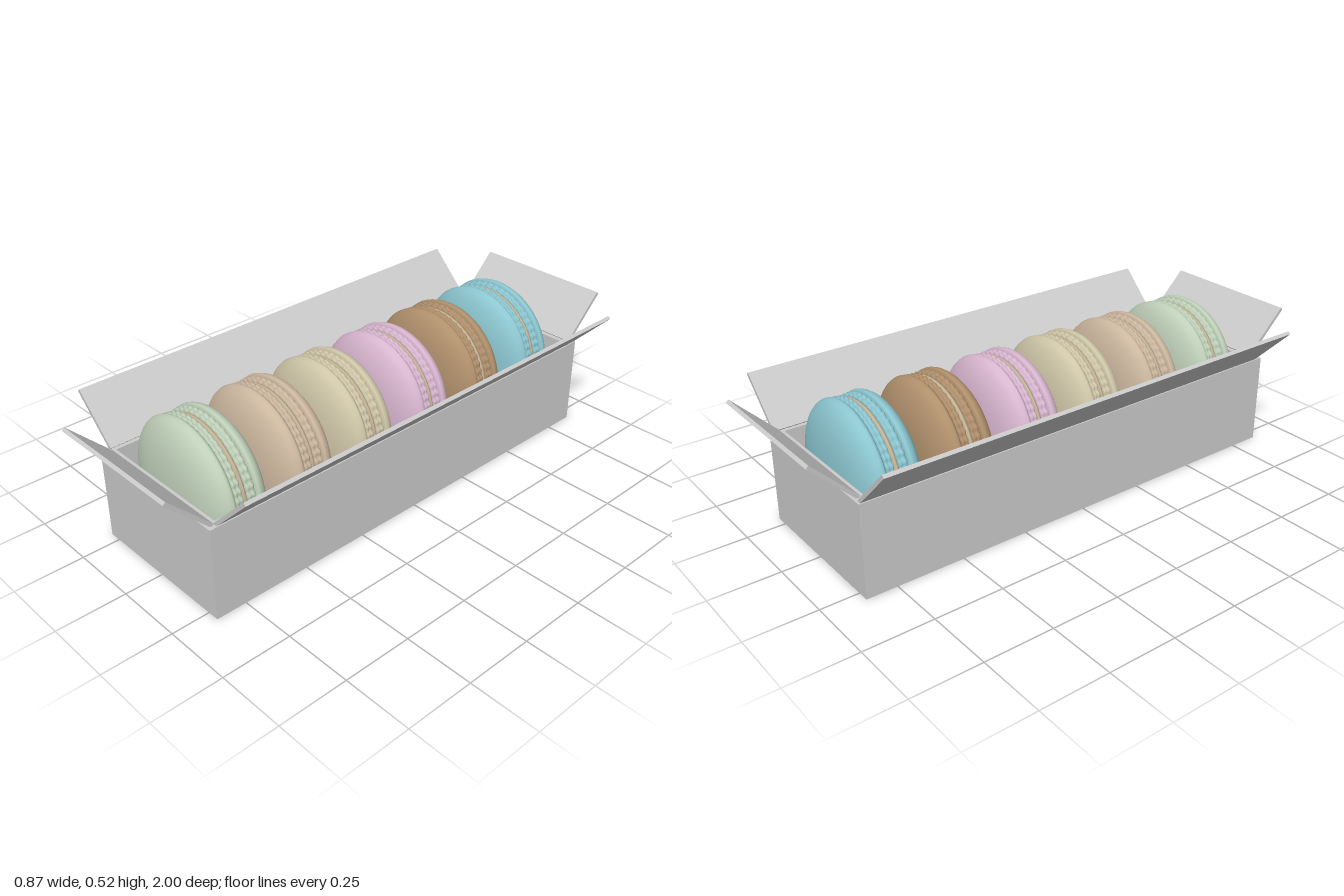
import * as THREE from 'three';

const mat = (color, side = THREE.FrontSide) => new THREE.MeshStandardMaterial({ color, side });

function add(parent, name, geometry, material) {
  const mesh = new THREE.Mesh(geometry, material);
  mesh.name = name;
  parent.add(mesh);
  return mesh;
}

// Lathe around z; points are [radius, z]
function turned(points, segments = 96) {
  const geo = new THREE.LatheGeometry(points.map(([r, z]) => new THREE.Vector2(r, z)), segments);
  return geo.rotateX(Math.PI / 2);
}

// Domed shell, listed from its edge to its pole
const edge = [[0.225, 0.038], [0.243, 0.04], [0.249, 0.046], [0.25, 0.053], [0.246, 0.064],
  [0.238, 0.075], [0.224, 0.086], [0.2, 0.099], [0.165, 0.111], [0.12, 0.12], [0.06, 0.1255], [0, 0.127]];
const shellGeo = turned(edge);

// Ruffled foot: a ring whose rim is rippled
function footGeometry() {
  const geo = turned([[0.2, 0.007], [0.234, 0.007], [0.242, 0.011], [0.244, 0.018],
    [0.239, 0.0225], [0.244, 0.027], [0.244, 0.034], [0.238, 0.039], [0.2, 0.04]], 216);
  const p = geo.attributes.position;
  for (let i = 0; i < p.count; i++) {
    const x = p.getX(i), y = p.getY(i), r = Math.hypot(x, y);
    if (r < 0.21) continue;
    const k = 1 + 0.012 * Math.cos(54 * Math.atan2(y, x));
    p.setXY(i, x * k, y * k);
  }
  geo.computeVertexNormals();
  return geo;
}
const footGeo = footGeometry();
const fillingGeo = turned([[0.2, -0.01], [0.234, -0.01], [0.239, 0], [0.234, 0.01], [0.2, 0.01]]);

function macaron(color) {
  const group = new THREE.Group();
  group.name = 'macaron';
  const material = mat(color);
  for (const turn of [0, Math.PI]) {
    add(group, 'shell', shellGeo, material).rotation.y = turn;
    add(group, 'ruffledFoot', footGeo, material).rotation.y = turn;
  }
  add(group, 'filling', fillingGeo, mat(0xc9b89a));
  return group;
}

// Flap hinged on its lower edge, leaning outwards at 45 degrees
function flap(parent, name, width, x, z, turn) {
  const geo = new THREE.BoxGeometry(width, 0.219, 0.013).translate(0, 0.1095, 0);
  geo.rotateX(Math.PI / 4);
  const mesh = add(parent, name, geo, mat(0xcccccc));
  mesh.position.set(x, 0.337, z);
  mesh.rotation.y = turn;
}

function rectangle(path, w, d) {
  return path.moveTo(-w, -d).lineTo(w, -d).lineTo(w, d).lineTo(-w, d).closePath();
}

export function createModel() {
  const model = new THREE.Group();
  model.name = 'macaronBox';
  const card = mat(0xcccccc);

  // Open box
  const outline = rectangle(new THREE.Shape(), 0.292, 0.862);
  outline.holes.push(rectangle(new THREE.Path(), 0.262, 0.822));
  const walls = new THREE.ExtrudeGeometry(outline, { depth: 0.337, bevelEnabled: false });
  add(model, 'boxWalls', walls.rotateX(-Math.PI / 2), card);
  add(model, 'boxFloor', new THREE.BoxGeometry(0.53, 0.02, 1.65), card).position.y = 0.01;

  // Lid flaps
  flap(model, 'frontFlap', 0.535, 0.01, 0.841, 0);
  flap(model, 'backFlap', 0.535, 0.01, -0.841, Math.PI);
  flap(model, 'leftFlap', 1.69, 0.278, -0.01, Math.PI / 2);
  flap(model, 'rightFlap', 1.69, -0.278, -0.01, -Math.PI / 2);

  // Row of macarons, from back to front
  [0x8cc6d0, 0xb0906c, 0xd8b6d0, 0xcfc6a8, 0xccb79f, 0xbfd0b9].forEach((color, i) => {
    const m = macaron(color);
    m.position.set(-0.009, 0.273, -0.69 + i * 0.2735);
    model.add(m);
  });
  return model;
}
